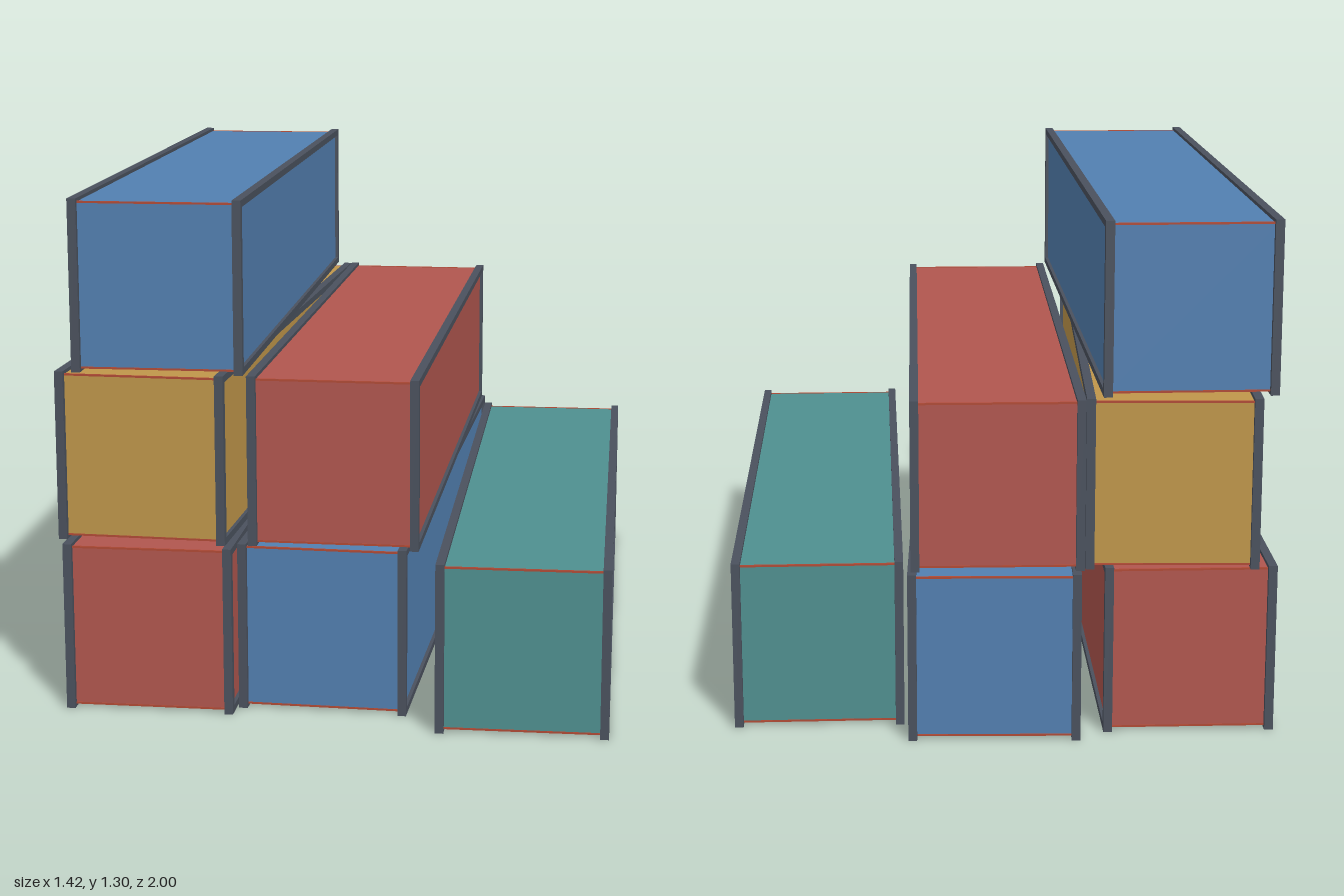
import * as THREE from 'three';

const material = (name, color) => {
  const m = new THREE.MeshStandardMaterial({ color });
  m.name = name;
  return m;
};

// Outer size of one container
const W = 0.43, H = 0.433, L = 1.882;
const BAR = 0.022;

export function createModel() {
  const paint = {
    red: material('brick red', 0xb0564e),
    blue: material('steel blue', 0x527fb0),
    teal: material('teal', 0x4f8f8f),
    yellow: material('ochre', 0xbf964a),
  };
  const frame = material('frame grey', 0x4a515d);
  const rust = material('rust red', 0xb04a35);

  function addBox(group, name, mat, size, pos) {
    const mesh = new THREE.Mesh(new THREE.BoxGeometry(...size), mat);
    mesh.name = name;
    mesh.position.set(...pos);
    group.add(mesh);
  }

  function container(color) {
    const g = new THREE.Group();
    g.name = color + 'Container';
    const bodyH = H - 0.018, bodyL = L - 0.028;
    addBox(g, 'body', paint[color], [W - 0.018, bodyH, bodyL], [0, H / 2, 0]);

    for (const sx of [-1, 1]) {
      const x = sx * (W - BAR) / 2;
      // Corner posts
      for (const sz of [-1, 1]) {
        addBox(g, 'cornerPost', frame, [BAR, H, BAR], [x, H / 2, sz * (L - BAR) / 2]);
      }
      // Long side rails, top and bottom
      for (const sy of [-1, 1]) {
        addBox(g, 'sideRail', frame, [BAR, 0.018, L - 2 * BAR],
          [x, H / 2 + sy * (H - 0.018) / 2, 0]);
      }
    }
    // Thin trim along the end edges
    for (const sz of [-1, 1]) {
      for (const sy of [-1, 1]) {
        addBox(g, 'endTrim', rust, [W - 2 * BAR, 0.005, 0.005],
          [0, H / 2 + sy * (bodyH / 2 - 0.001), sz * (bodyL / 2 - 0.001)]);
      }
    }
    return g;
  }

  // Colour, tier, x, z, yaw
  const stack = [
    ['red', 0, -0.478, 0.0, 0.0186],
    ['blue', 0, -0.015, -0.055, -0.011],
    ['teal', 0, 0.463, 0.0525, 0.0285],
    ['yellow', 1, -0.462, -0.028, -0.0186],
    ['red', 1, -0.003, -0.037, 0.0106],
    ['blue', 2, -0.457, -0.0165, 0.03],
  ];

  const model = new THREE.Group();
  model.name = 'containerStack';
  for (const [color, tier, x, z, yaw] of stack) {
    const c = container(color);
    c.position.set(x, tier * 0.436, z);
    c.rotation.y = yaw;
    model.add(c);
  }
  return model;
}
